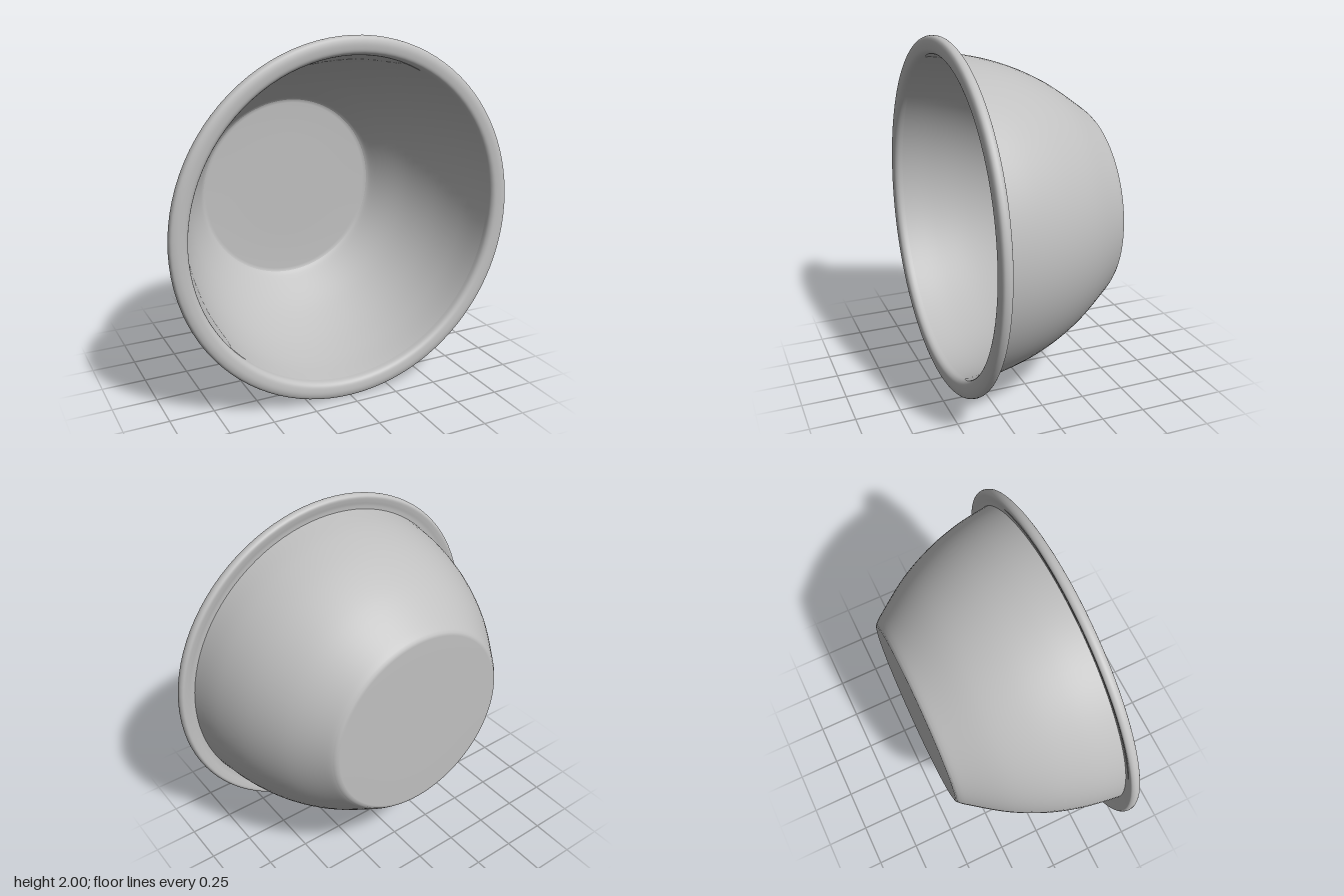
import * as THREE from 'three';

const SEGMENTS = 96;

// Revolves a [radius, depth] profile around z; smooth profiles pass through a spline.
function revolve(name, profile, material, samples = 0) {
  let pts = profile.map(([r, z]) => new THREE.Vector2(r, z));
  if (samples) pts = new THREE.SplineCurve(pts).getPoints(samples);
  const geo = new THREE.LatheGeometry(pts, SEGMENTS);
  geo.rotateX(Math.PI / 2);
  // the mouth leans very slightly, fading out towards the base
  const p = geo.attributes.position;
  for (let i = 0; i < p.count; i++) {
    const w = THREE.MathUtils.smoothstep(p.getZ(i), -0.1, 0.4);
    p.setZ(i, p.getZ(i) - 0.01 * w * p.getY(i));
  }
  const mesh = new THREE.Mesh(geo, material);
  mesh.name = name;
  return mesh;
}

export function createModel() {
  const grey = new THREE.MeshStandardMaterial({ color: 0xc0c0c0 });
  grey.name = 'bowlGrey';

  const bowl = new THREE.Group();
  bowl.name = 'bowl';
  bowl.position.y = 1;

  // flat base with a small rounded edge
  bowl.add(revolve('base', [[0, -0.447], [0.3, -0.447], [0.53, -0.447], [0.547, -0.443], [0.558, -0.432]], grey));

  // curved outside wall
  bowl.add(revolve('outerWall', [
    [0.558, -0.432], [0.592, -0.39], [0.725, -0.2], [0.822, 0], [0.882, 0.2], [0.912, 0.385],
  ], grey, 24));

  // rolled rim, hollowed slightly on its back
  bowl.add(revolve('rim', [
    [0.912, 0.385], [0.935, 0.383], [0.96, 0.377], [0.985, 0.374], [0.998, 0.387], [1, 0.405],
    [0.992, 0.422], [0.97, 0.431], [0.945, 0.432], [0.918, 0.426], [0.902, 0.408], [0.898, 0.38],
  ], grey, 44));

  // inside wall, running from the rim down to the floor
  bowl.add(revolve('innerWall', [
    [0.898, 0.38], [0.867, 0.2], [0.806, 0], [0.709, -0.2], [0.58, -0.385], [0.545, -0.422],
  ], grey, 24));

  // inside floor
  bowl.add(revolve('floor', [[0.545, -0.422], [0.525, -0.43], [0.3, -0.432], [0, -0.432]], grey));

  const model = new THREE.Group();
  model.name = 'bowlModel';
  model.add(bowl);
  return model;
}
